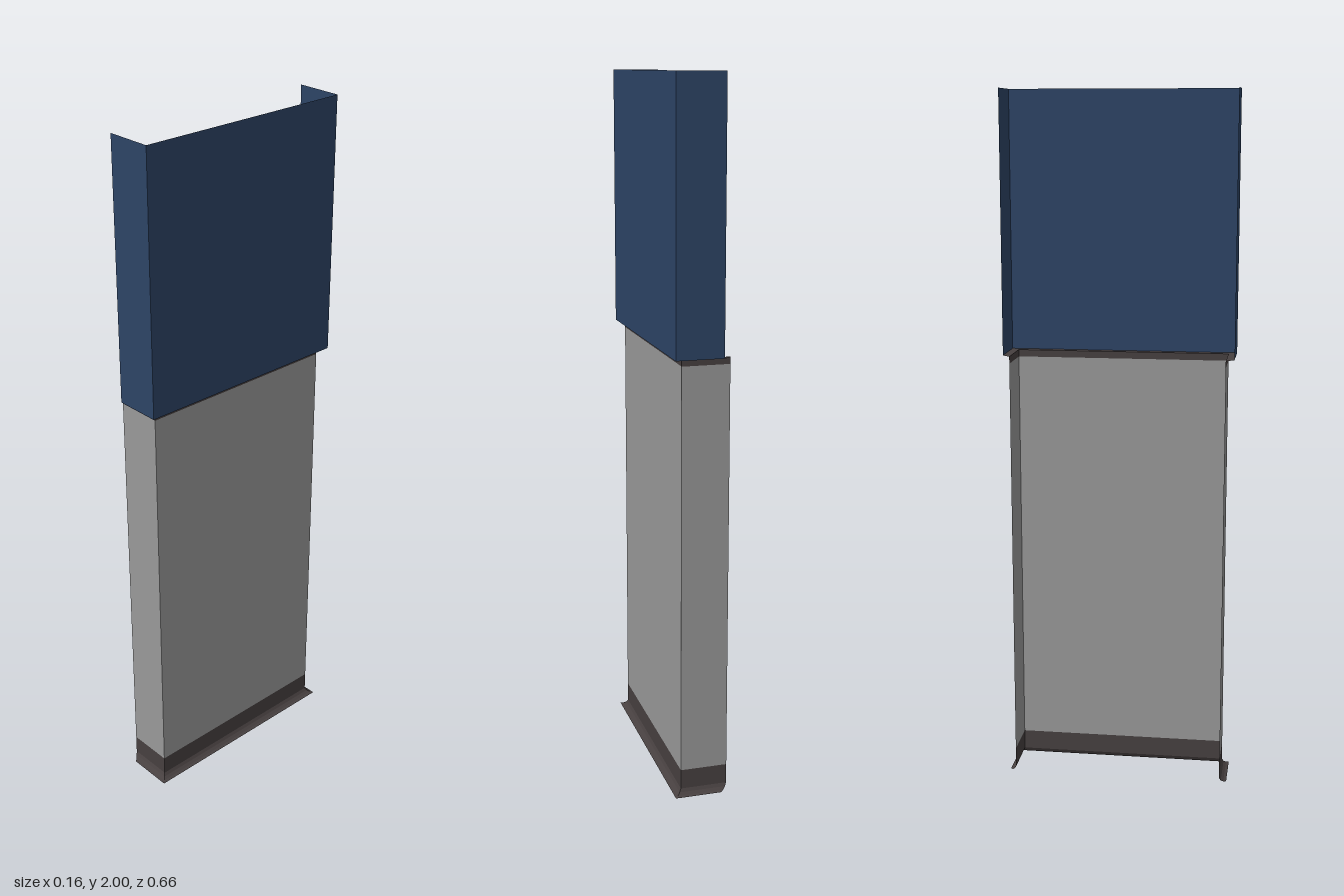
import * as THREE from 'three';

const paint = (name, color) => {
  const m = new THREE.MeshStandardMaterial({ color, side: THREE.DoubleSide });
  m.name = name;
  return m;
};

// C-shaped plan, pushed outward by o; the open ends are mitred
const plan = (o) => [
  [-0.079 + o, 0.305 + o], [0.056 + o, 0.305 + o],
  [0.056 + o, -0.305 - o], [-0.079 + o, -0.305 - o],
];

// Sweep a profile of [offset, height] points along the C-shaped plan
function sheet(name, profile, material) {
  const pos = [];
  for (let i = 0; i < profile.length - 1; i++) {
    const [o0, y0] = profile[i], [o1, y1] = profile[i + 1];
    const low = plan(o0), high = plan(o1);
    for (let k = 0; k < 3; k++) {
      const a = [low[k][0], y0, low[k][1]];
      const b = [low[k + 1][0], y0, low[k + 1][1]];
      const c = [high[k + 1][0], y1, high[k + 1][1]];
      const d = [high[k][0], y1, high[k][1]];
      pos.push(...a, ...b, ...c, ...a, ...c, ...d);
    }
  }
  const g = new THREE.BufferGeometry();
  g.setAttribute('position', new THREE.Float32BufferAttribute(pos, 3));
  g.computeVertexNormals();
  const mesh = new THREE.Mesh(g, material);
  mesh.name = name;
  return mesh;
}

export function createModel() {
  const blue = paint('blue paint', 0x2d4466);
  const grey = paint('grey plaster', 0x999999);
  const brown = paint('dark brown trim', 0x474040);

  const group = new THREE.Group();
  group.name = 'wallSection';
  group.add(
    // Skirting with a small cove flaring out at the floor
    sheet('skirting', [[0.02, 0], [0.012, 0.003], [0.005, 0.009], [0, 0.018], [0, 0.075]], brown),
    sheet('lowerWall', [[0, 0.075], [0, 1.243]], grey),
    // Trim band and the ledge under the overhanging upper wall
    sheet('ledgeTrim', [[0, 1.243], [0, 1.263], [0.023, 1.263]], brown),
    sheet('upperWall', [[0.023, 1.263], [0.023, 2]], blue),
  );
  return group;
}
